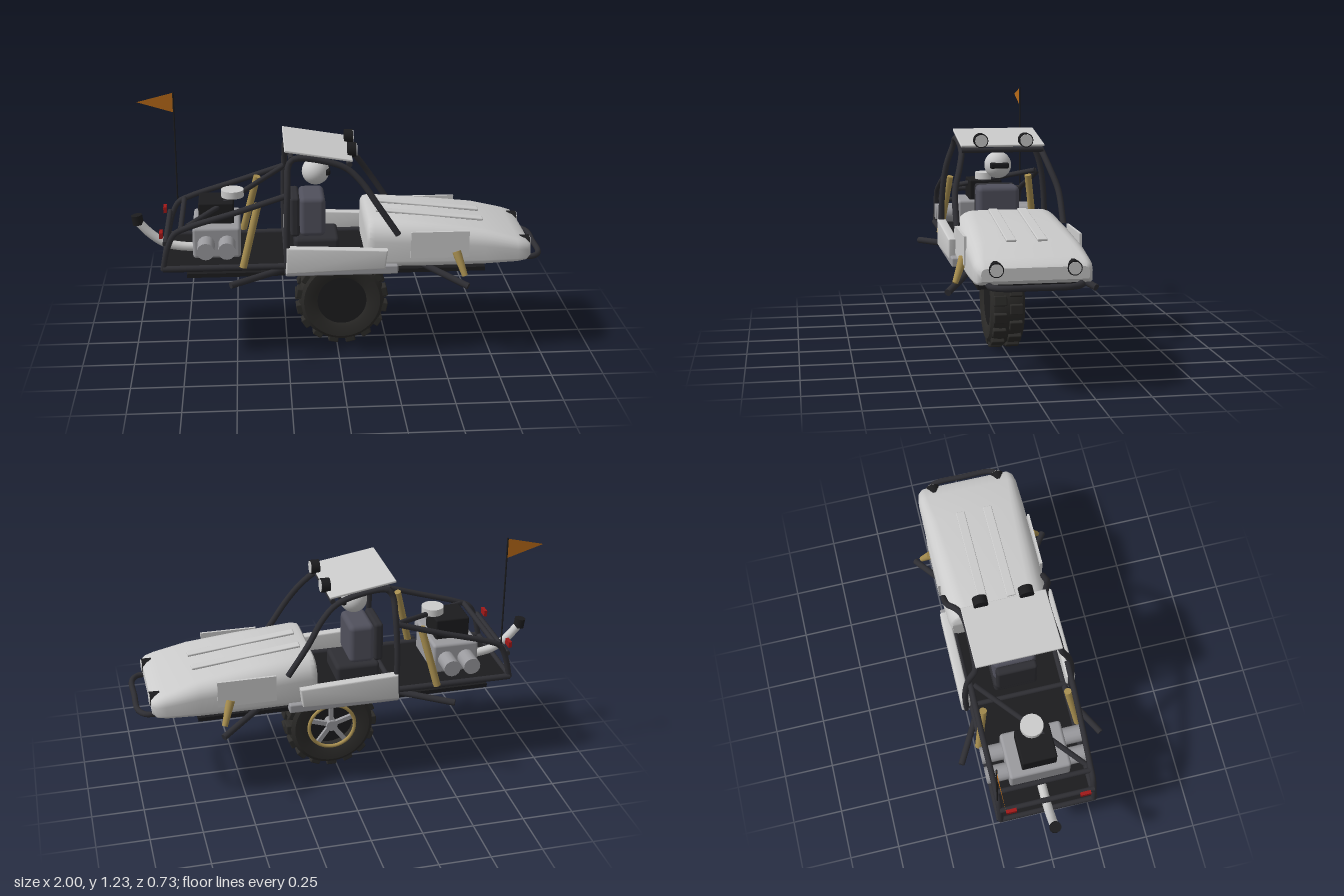
import * as THREE from 'three';
import { toCreasedNormals } from 'three/addons/utils/BufferGeometryUtils.js';
import { RoundedBoxGeometry } from 'three/addons/geometries/RoundedBoxGeometry.js';

const mat = (color, side = THREE.FrontSide) => new THREE.MeshStandardMaterial({ color, side });
const grey = mat(0xcccccc), frame = mat(0x2e2e33), black = mat(0x1c1c1e), rubber = mat(0x2c2b29);
const gold = mat(0xa88f50), seatMat = mat(0x50505c), red = mat(0xa01818), metal = mat(0x9a9a9e);
const V = (p) => new THREE.Vector3(...p);

export function createModel() {
  const model = new THREE.Group();

  const add = (name, geo, material, pos = [0, 0, 0], rot = [0, 0, 0], parent = model) => {
    const m = new THREE.Mesh(geo, material);
    m.name = name;
    m.position.set(...pos);
    m.rotation.set(...rot);
    parent.add(m);
    return m;
  };
  const box = (name, size, pos, material, r = 0, rot) => add(name,
    r ? new RoundedBoxGeometry(...size, 3, r) : new THREE.BoxGeometry(...size), material, pos, rot);
  // straight round bar between two points
  const rod = (name, a, b, r, material, r2 = r) => {
    const A = V(a), B = V(b), d = B.clone().sub(A);
    const m = add(name, new THREE.CylinderGeometry(r2, r, d.length(), 14), material);
    m.position.copy(A).add(B).multiplyScalar(0.5);
    m.quaternion.setFromUnitVectors(new THREE.Vector3(0, 1, 0), d.normalize());
    return m;
  };
  const tube = (name, pts, r, material) => add(name,
    new THREE.TubeGeometry(new THREE.CatmullRomCurve3(pts.map(V), false, 'centripetal'), 48, r, 10), material);
  // run once for each side of the vehicle
  const bothSides = (fn) => [1, -1].forEach(fn);

  // Floor and lower frame
  box('floorPan', [1.44, 0.02, 0.44], [-0.01, 0.45, 0], black);
  box('rearDeck', [0.58, 0.02, 0.46], [-0.54, 0.485, 0], black);
  box('cockpitFloor', [0.4, 0.02, 0.46], [-0.05, 0.485, 0], black);
  bothSides((s) => {
    rod('frameRail', [-0.84, 0.495, 0.235 * s], [0.28, 0.495, 0.235 * s], 0.015, frame);
  });

  // Hood lofted through rounded sections: x, bottom, top, half width
  const section = ([x, b, t, w]) => {
    const pts = [], rt = (t - b) * 0.42, rb = (t - b) * 0.16;
    const corner = (z, y, r, a0) => {
      for (let i = 0; i <= 6; i++) {
        const a = a0 + (i / 6) * Math.PI / 2;
        pts.push([x, y + r * Math.sin(a), z + r * Math.cos(a)]);
      }
    };
    corner(w - rt, t - rt, rt, 0);
    corner(-w + rt, t - rt, rt, Math.PI / 2);
    corner(-w + rb, b + rb, rb, Math.PI);
    corner(w - rb, b + rb, rb, Math.PI * 1.5);
    return pts;
  };
  const rings = [[0.135, 0.485, 0.69, 0.24], [0.145, 0.48, 0.704, 0.25], [0.17, 0.478, 0.71, 0.255],
    [0.45, 0.48, 0.682, 0.26], [0.7, 0.485, 0.65, 0.262], [0.86, 0.495, 0.607, 0.26],
    [0.905, 0.502, 0.592, 0.252], [0.925, 0.52, 0.575, 0.235]].map(section);
  const n = rings[0].length, verts = rings.flat(2), index = [];
  for (let i = 0; i < rings.length - 1; i++) {
    for (let j = 0; j < n; j++) {
      const k = (j + 1) % n, a = i * n + j, b = i * n + k;
      index.push(a, b, a + n, b, b + n, a + n);
    }
  }
  const last = (rings.length - 1) * n;
  for (let j = 1; j < n - 1; j++) index.push(0, j + 1, j, last, last + j, last + j + 1);
  const hoodGeo = new THREE.BufferGeometry();
  hoodGeo.setAttribute('position', new THREE.Float32BufferAttribute(verts, 3));
  hoodGeo.setIndex(index);
  add('hood', toCreasedNormals(hoodGeo, 0.7), mat(0xcccccc, THREE.DoubleSide));

  // Hood ribs, side plates, headlights and front bumper
  bothSides((s) => {
    box('hoodRib', [0.53, 0.012, 0.045], [0.45, 0.684, 0.07 * s], grey, 0.004, [0, 0, -0.112]);
    box('sidePlate', [0.28, 0.13, 0.012], [0.48, 0.598, 0.262 * s], grey);
    rod('headlightShell', [0.88, 0.568, 0.17 * s], [0.928, 0.568, 0.17 * s], 0.033, black);
    rod('headlightLens', [0.9, 0.568, 0.17 * s], [0.932, 0.568, 0.17 * s], 0.028, grey);
  });
  tube('frontBumper', [[0.76, 0.495, 0.2], [0.9, 0.5, 0.2], [0.95, 0.5, 0.195], [0.982, 0.5, 0.15], [0.986, 0.5, 0],
    [0.982, 0.5, -0.15], [0.95, 0.5, -0.195], [0.9, 0.5, -0.2], [0.76, 0.495, -0.2]], 0.014, frame);

  // Side pods
  const pod = new THREE.Shape([[-0.25, 0.48], [0.21, 0.495], [0.22, 0.575], [-0.245, 0.595]]
    .map((p) => new THREE.Vector2(...p)));
  const podGeo = toCreasedNormals(new THREE.ExtrudeGeometry(pod,
    { depth: 0.03, bevelSize: 0.008, bevelThickness: 0.008, bevelSegments: 3 }), 0.6);
  bothSides((s) => {
    add('sidePod', podGeo, grey, [0, 0, s > 0 ? 0.25 : -0.28]);
    box('sill', [0.54, 0.045, 0.05], [0.01, 0.48, 0.255 * s], metal, 0.008);
  });

  // Seat and driver
  box('seatBack', [0.045, 0.2, 0.2], [-0.205, 0.69, 0], frame, 0.015);
  box('seatBase', [0.22, 0.09, 0.22], [-0.1, 0.54, 0], frame, 0.02);
  box('driverTorso', [0.125, 0.2, 0.21], [-0.12, 0.69, 0], seatMat, 0.025);
  add('driverHelmet', new THREE.SphereGeometry(0.067, 32, 20), grey, [-0.1, 0.895, 0]);
  box('visor', [0.03, 0.03, 0.095], [-0.045, 0.897, 0], black, 0.01);

  // Roll cage
  bothSides((s) => {
    tube('rollHoop', [[-0.25, 0.47, 0.265 * s], [-0.25, 0.72, 0.262 * s], [-0.245, 0.88, 0.24 * s],
      [-0.237, 0.99, 0.203 * s], [-0.21, 1.02, 0.2 * s], [-0.05, 1.0, 0.195 * s], [0.04, 0.965, 0.2 * s],
      [0.11, 0.9, 0.22 * s], [0.18, 0.8, 0.25 * s], [0.28, 0.65, 0.255 * s]], 0.015, frame);
    tube('rearBrace', [[-0.25, 0.85, 0.235 * s], [-0.48, 0.775, 0.235 * s], [-0.72, 0.7, 0.23 * s],
      [-0.78, 0.67, 0.23 * s], [-0.815, 0.6, 0.23 * s], [-0.84, 0.49, 0.23 * s]], 0.014, frame);
  });
  [['roofRearBar', -0.225, 1.018, 0.2], ['roofFrontBar', 0.05, 0.985, 0.2], ['rearLowerBar', -0.84, 0.495, 0.235],
    ['rearMiddleBar', -0.825, 0.62, 0.23], ['rearUpperBar', -0.75, 0.69, 0.23], ['hoopLowerBar', -0.25, 0.5, 0.26],
  ].forEach(([name, x, y, z]) => rod(name, [x, y, -z], [x, y, z], 0.013, frame));
  rod('cageDiagonal', [-0.72, 0.7, 0.21], [-0.26, 0.845, -0.22], 0.013, frame);
  box('roofPanel', [0.325, 0.012, 0.41], [-0.095, 1.032, 0], grey, 0.004, [0, 0, -0.165]);

  // Roof lamps and tail lamps
  bothSides((s) => {
    rod('roofLampShell', [0.046, 1.033, 0.11 * s], [0.088, 1.033, 0.11 * s], 0.035, black);
    rod('roofLampLens', [0.07, 1.033, 0.11 * s], [0.092, 1.033, 0.11 * s], 0.03, grey);
    box('tailLamp', [0.016, 0.03, 0.05], [-0.846, 0.652, 0.18 * s], red);
  });

  // Engine and exhaust
  box('engineBlock', [0.23, 0.155, 0.3], [-0.585, 0.587, 0], metal, 0.015);
  box('engineTop', [0.17, 0.11, 0.17], [-0.585, 0.712, 0], black, 0.008);
  add('airFilter', new THREE.CylinderGeometry(0.055, 0.055, 0.035, 28), grey, [-0.505, 0.792, 0]);
  bothSides((s) => [-0.635, -0.535].forEach((x) => {
    rod('engineCylinder', [x, 0.585, 0.13 * s], [x, 0.585, 0.255 * s], 0.042, metal);
  }));
  tube('exhaustPipe', [[-0.66, 0.515, 0], [-0.76, 0.52, 0], [-0.84, 0.54, 0], [-0.91, 0.59, 0], [-0.965, 0.65, 0]],
    0.022, grey);
  rod('exhaustTip', [-0.966, 0.64, 0], [-0.973, 0.687, 0], 0.027, black);

  // Suspension
  bothSides((s) => {
    rod('rearShock', [-0.46, 0.5, 0.25 * s], [-0.383, 0.805, 0.205 * s], 0.018, gold);
    rod('frontShock', [0.56, 0.56, 0.262 * s], [0.598, 0.45, 0.305 * s], 0.022, gold, 0.014);
    rod('rearArm', [-0.25, 0.47, 0.2 * s], [-0.52, 0.452, 0.352 * s], 0.016, frame);
    rod('frontArm', [0.4, 0.478, 0.2 * s], [0.61, 0.41, 0.34 * s], 0.016, frame);
  });

  // Flag
  rod('flagPole', [-0.785, 0.66, -0.233], [-0.785, 1.238, -0.233], 0.004, black);
  const flag = new THREE.Shape([[-0.785, 1.235], [-0.965, 1.19], [-0.785, 1.135]].map((p) => new THREE.Vector2(...p)));
  add('flag', new THREE.ShapeGeometry(flag), mat(0xb86a18, THREE.DoubleSide), [0, 0, -0.233]);

  // Wheel: its axle lies along z, the open rim faces -z
  const wheel = new THREE.Group();
  wheel.name = 'wheel';
  wheel.position.set(0.025, 0.235, 0);
  model.add(wheel);
  const part = (name, geo, material, pos, rot) => add(name, geo, material, pos, rot, wheel);
  const tyre = [[0.12, -0.07], [0.14, -0.08], [0.19, -0.083], [0.208, -0.07], [0.214, -0.04], [0.214, 0.04],
    [0.208, 0.07], [0.19, 0.083], [0.14, 0.08], [0.12, 0.07], [0.12, -0.07]].map((p) => new THREE.Vector2(...p));
  part('tyre', toCreasedNormals(new THREE.LatheGeometry(tyre, 48), 0.6), mat(0x2c2b29, THREE.DoubleSide),
    [0, 0, 0], [Math.PI / 2, 0, 0]);
  const lug = new RoundedBoxGeometry(0.035, 0.05, 0.064, 2, 0.006);
  for (let i = 0; i < 32; i++) {
    const a = (i / 32) * Math.PI * 2;
    part('treadLug', lug, rubber, [0.213 * Math.cos(a), 0.213 * Math.sin(a), i % 2 ? 0.041 : -0.037], [0, 0, a]);
  }
  part('wheelBackPlate', new THREE.CylinderGeometry(0.122, 0.122, 0.09, 40), black, [0, 0, 0.026], [Math.PI / 2, 0, 0]);
  part('rimRing', new THREE.TorusGeometry(0.117, 0.009, 10, 48), gold, [0, 0, -0.073]);
  part('hub', new THREE.CylinderGeometry(0.028, 0.028, 0.06, 20), metal, [0, 0, -0.045], [Math.PI / 2, 0, 0]);
  for (let i = 0; i < 5; i++) {
    const a = Math.PI / 2 + (i / 5) * Math.PI * 2;
    part('spoke', new THREE.BoxGeometry(0.1, 0.022, 0.018), metal,
      [0.066 * Math.cos(a), 0.066 * Math.sin(a), -0.055], [0, 0, a]);
  }
  return model;
}
